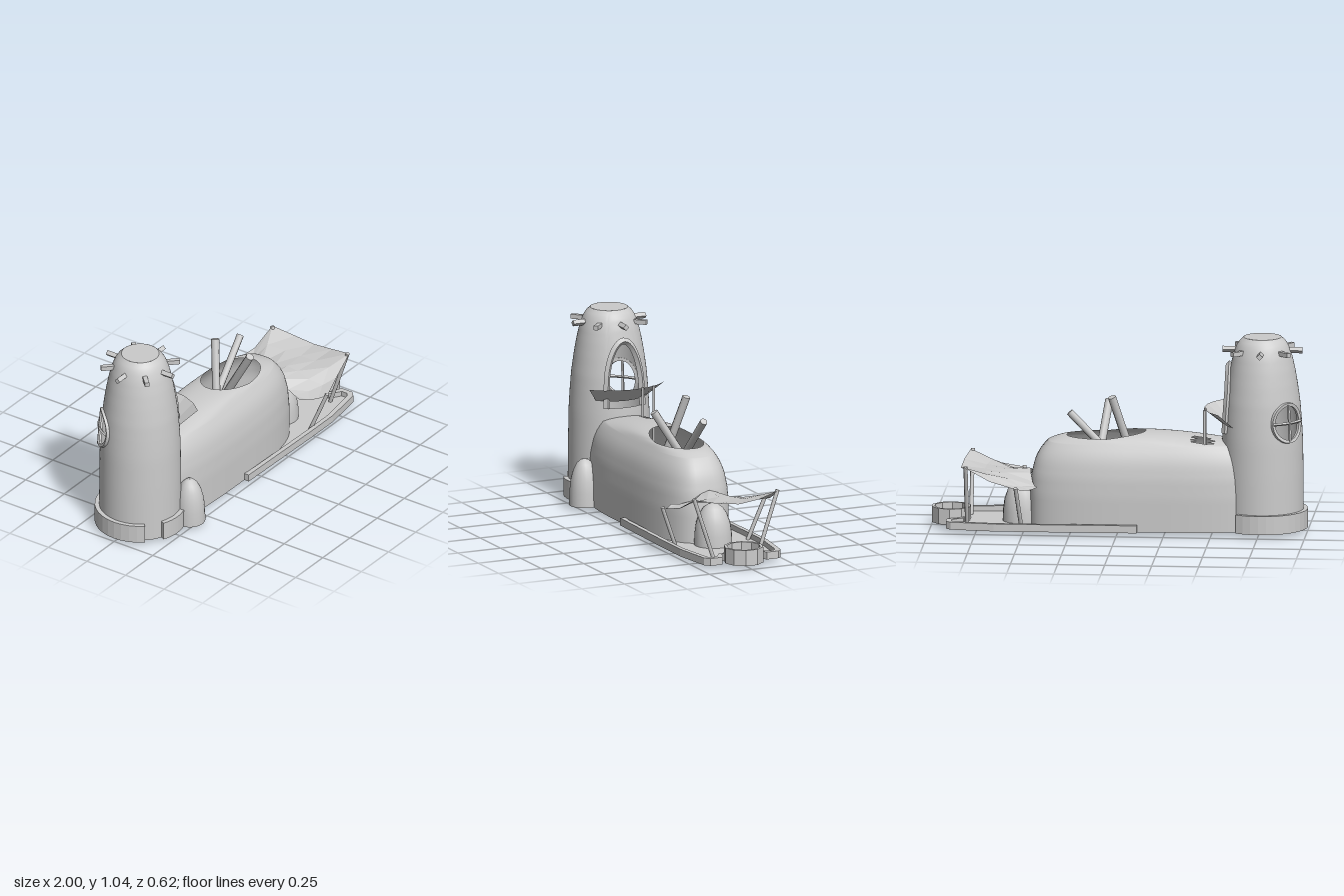
import * as THREE from 'three';
import { mergeVertices, mergeGeometries } from 'three/addons/utils/BufferGeometryUtils.js';

const grey = new THREE.MeshStandardMaterial({ color: 0xcccccc, side: THREE.DoubleSide });
const facet = new THREE.MeshStandardMaterial({ color: 0xcccccc, side: THREE.DoubleSide, flatShading: true });
const V = (x, y, z) => new THREE.Vector3(x, y, z);
const lerp = THREE.MathUtils.lerp;

// Surface from a rule fn(u, v) -> [x, y, z]; skip(x, z, y) leaves openings
function grid(nu, nv, fn, skip) {
  const pos = [], idx = [], w = nv + 1;
  for (let i = 0; i <= nu; i++) for (let j = 0; j <= nv; j++) pos.push(...fn(i / nu, j / nv));
  for (let i = 0; i < nu; i++) for (let j = 0; j < nv; j++) {
    const a = i * w + j, b = a + w, q = [a, b, a + 1, b + 1];
    const mid = k => q.reduce((s, p) => s + pos[p * 3 + k], 0) / 4;
    if (skip && skip(mid(0), mid(2), mid(1))) continue;
    idx.push(a, a + 1, b, b, a + 1, b + 1);
  }
  const g = new THREE.BufferGeometry();
  g.setAttribute('position', new THREE.Float32BufferAttribute(pos, 3));
  g.setIndex(idx);
  return g;
}

function smooth(g) {
  const m = mergeVertices(g, 1e-4);
  m.computeVertexNormals();
  return m;
}

// Extrude a plan drawn in (x, -z) upward from y0
function slab(shape, y0, h, curveSegments = 6) {
  const g = new THREE.ExtrudeGeometry(shape, { depth: h, bevelEnabled: false, curveSegments });
  return g.rotateX(-Math.PI / 2).translate(0, y0, 0);
}

// Piecewise-linear lookup in [[key, value], ...]
function lookup(table, k) {
  for (let i = 1; i < table.length; i++) {
    const [a, va] = table[i - 1], [b, vb] = table[i];
    if (k <= b) return lerp(va, vb, (k - a) / (b - a));
  }
  return table[table.length - 1][1];
}

export function createModel() {
  const root = new THREE.Group();
  const add = (name, geo, mat = grey, parent = root) => {
    const m = new THREE.Mesh(geo, mat);
    m.name = name;
    parent.add(m);
    return m;
  };
  const pole = (name, a, b, r, sides = 8) => {
    const d = b.clone().sub(a);
    const m = add(name, new THREE.CylinderGeometry(r, r, d.length(), sides), sides < 6 ? facet : grey);
    m.position.copy(a).addScaledVector(d, 0.5);
    m.quaternion.setFromUnitVectors(V(0, 1, 0), d.normalize());
  };

  // Tower wall with an arched opening (+x) and a round opening (back left)
  const TX = -0.76, SEAM = 0.61;
  const towerR = [[0.02, 0.218], [0.3, 0.217], [0.5, 0.214], [0.6, 0.208], [0.7, 0.2], [0.8, 0.186],
    [0.88, 0.172], [0.95, 0.156], [1.0, 0.138], [1.025, 0.122], [1.045, 0.1]];
  const onTower = (ang, y, off = 0) => {
    const r = lookup(towerR, y) + off;
    return [TX + r * Math.cos(ang), y, r * Math.sin(ang)];
  };
  const ARCH = 0.5, ROUND = 0.44, ROUND_AT = Math.PI * 1.25;
  const gap = (ang, side) => {
    const a = Math.atan2(Math.sin(ang), Math.cos(ang)) / ARCH;
    const b = (ang - ROUND_AT) / ROUND;
    if (Math.abs(a) < 1) return side < 0 ? 0.54 : 0.67 + 0.215 * Math.sqrt(1 - a * a);
    if (Math.abs(b) < 1) return SEAM + side * 0.1 * Math.sqrt(1 - b * b);
    return SEAM;
  };
  const wall = mergeGeometries([
    grid(96, 14, (u, v) => onTower(u * Math.PI * 2, lerp(0.02, gap(u * Math.PI * 2, -1), v))),
    grid(96, 22, (u, v) => onTower(u * Math.PI * 2, lerp(gap(u * Math.PI * 2, 1), 1.045, v))),
  ]);
  add('towerWall', smooth(wall));
  add('towerRoof', new THREE.CircleGeometry(0.1, 32).rotateX(-Math.PI / 2).translate(TX, 1.045, 0));

  // Arched window frame
  const archPath = [];
  for (let i = 0; i <= 20; i++) {
    const a = Math.PI * i / 20;
    archPath.push(V(...onTower(ARCH * Math.cos(a), 0.67 + 0.225 * Math.sin(a), 0.008)));
  }
  for (const s of [1, -1]) archPath[s > 0 ? 'unshift' : 'push'](V(...onTower(s * ARCH, 0.54, 0.008)));
  add('archFrame', new THREE.TubeGeometry(new THREE.CatmullRomCurve3(archPath), 48, 0.018, 4), facet);

  // Round window frame with crossed bars
  const ringPath = [];
  for (let i = 0; i < 10; i++) {
    const a = Math.PI * 2 * i / 10;
    ringPath.push(V(...onTower(ROUND_AT + ROUND * Math.cos(a), SEAM + 0.1 * Math.sin(a), 0.004)));
  }
  add('roundWindowFrame', new THREE.TubeGeometry(new THREE.CatmullRomCurve3(ringPath, true), 40, 0.012, 4, true), facet);
  const bar = f => new THREE.TubeGeometry(new THREE.CatmullRomCurve3([-1, -0.5, 0, 0.5, 1].map(f)), 10, 0.008, 4);
  add('roundWindowUpright', bar(t => V(...onTower(ROUND_AT, SEAM + 0.1 * t, 0.012))), facet);
  add('roundWindowCrossbar', bar(t => V(...onTower(ROUND_AT + ROUND * t, SEAM, 0.012))), facet);

  // Roof beam ends around the tower
  for (let i = 0; i < 8; i++) {
    const a = Math.PI * i / 4, c = Math.cos(a), s = Math.sin(a);
    pole('beamEnd', V(TX + 0.11 * c, 0.975, 0.11 * s), V(TX + 0.212 * c, 0.975, 0.212 * s), 0.017, 4);
  }

  // Low plinth around the tower foot, broken by a gap at the front
  for (const [from, to, h] of [[58, 114, 0.1], [139, 302, 0.1]]) {
    const a = -from * Math.PI / 180, b = -to * Math.PI / 180;
    const s = new THREE.Shape();
    s.absarc(TX, 0, 0.242, a, b, true);
    s.absarc(TX, 0, 0.214, b, a, false);
    add('plinth', slab(s, 0.02, h, 8), facet);
  }

  // Flared canopy below the arched window, with ladder rails to the roof hatch
  add('towerCanopy', grid(6, 1, (u, v) => {
    const a = (u - 0.5) * 1.57, r = lerp(0.205, 0.31, v);
    return [TX + r * Math.cos(a), lerp(0.575, 0.66, v), r * Math.sin(a)];
  }).toNonIndexed(), facet).geometry.computeVertexNormals();
  for (const z of [-0.055, -0.12]) pole('ladderRail', V(-0.46, 0.36, z), V(-0.46, 0.665, z), 0.008, 6);

  // Long rounded hall, with a large roof opening and a small hatch
  const hallInset = [[0.02, 0], [0.2, 0], [0.3, 0.006], [0.38, 0.02], [0.43, 0.038], [0.47, 0.062]];
  const pw = c => Math.sign(c) * Math.pow(Math.abs(c), 2 / 3);
  const hallAt = (t, y) => {
    const k = lookup(hallInset, y);
    return [-0.15 + (0.625 - 1.5 * k) * pw(Math.cos(t)), y, (0.217 - k) * pw(Math.sin(t))];
  };
  const hall = mergeGeometries([
    grid(72, 18, (u, v) => hallAt(u * Math.PI * 2, lerp(0.02, 0.47, v))),
    grid(72, 12, (u, v) => {
      const t = u * Math.PI * 2, c = Math.cos(t), [x, , z] = hallAt(t, 0.47);
      const rim = 0.5 + 0.028 * Math.max(0, -c);
      return [lerp(x, 0.07 + 0.21 * c, v), lerp(0.47, rim, Math.sin(v * Math.PI / 2)), lerp(z, 0.125 * Math.sin(t), v)];
    }, (x, z) => x > -0.49 && x < -0.41 && z > -0.125 && z < -0.045),
  ]);
  add('hall', smooth(hall));

  // Poles leaning out of the roof opening
  pole('roofPole', V(-0.09, 0.3, 0.025), V(0.035, 0.72, -0.075), 0.022);
  pole('roofPole', V(0.12, 0.3, -0.09), V(0.065, 0.665, 0.13), 0.022);
  pole('roofPole', V(-0.03, 0.33, -0.055), V(0.26, 0.635, -0.07), 0.02);
  pole('poleFoot', V(0.05, 0, -0.1), V(0.05, 0.06, -0.1), 0.02);
  pole('poleFoot', V(0.07, 0.008, 0.02), V(0.07, 0.06, 0.02), 0.018);

  // Beehive domes: oven beside the tower, porch at the hall end
  const dome = (name, x, z, r, h) => add(name, new THREE.LatheGeometry(
    [[1, 0], [0.98, 0.3], [0.9, 0.55], [0.74, 0.75], [0.52, 0.9], [0.27, 0.98], [0, 1]]
      .map(([a, b]) => new THREE.Vector2(a * r, 0.02 + b * h)), 20)).position.set(x, 0, z);
  dome('oven', -0.61, 0.215, 0.083, 0.25);
  dome('porchDome', 0.52, 0, 0.102, 0.235);

  // Terrace floor and raised kerb
  const half = [[-0.11, 0.245], [0.45, 0.255], [0.65, 0.255], [0.88, 0.225], [0.908, 0.2], [0.908, 0.13], [0.84, 0.1]];
  const inner = [[-0.09, 0.22], [0.45, 0.23], [0.64, 0.23], [0.86, 0.2], [0.88, 0.185], [0.88, 0.15], [0.82, 0.11]];
  const both = h => [...h, ...h.map(([x, z]) => [x, -z]).reverse()].map(p => new THREE.Vector2(...p));
  add('terraceFloor', slab(new THREE.Shape(both(half)), 0.02, 0.012), facet);
  const kerb = new THREE.Shape(both(half));
  kerb.holes.push(new THREE.Path(both(inner)));
  add('terraceKerb', slab(kerb, 0.02, 0.04), facet);

  // Round basin at the terrace end
  add('basin', new THREE.LatheGeometry([[0, 0.02], [0.106, 0.02], [0.106, 0.105], [0.09, 0.105], [0.09, 0.04], [0, 0.04]]
    .map(p => new THREE.Vector2(...p)), 10).translate(0.895, 0, 0), facet);

  // Draped awning from wall line to sagging outer edge
  const mirror = pts => [...pts, ...pts.slice(0, -1).reverse().map(([x, y, z]) => [x, y, -z])];
  const wallLine = mirror([[0.42, 0.25, 0.2], [0.44, 0.25, 0.155], [0.455, 0.262, 0.1], [0.468, 0.3, 0.045], [0.47, 0.315, 0]]);
  const edge = mirror([[0.53, 0.258, 0.305], [0.67, 0.29, 0.265], [0.81, 0.362, 0.25], [0.835, 0.333, 0.12], [0.84, 0.32, 0]]);
  add('awning', grid(8, 3, (u, v) => {
    const a = wallLine[Math.round(u * 8)], b = edge[Math.round(u * 8)];
    return a.map((p, k) => lerp(p, b[k], v) - (k === 1 ? 0.012 * Math.sin(Math.PI * v) : 0));
  }).toNonIndexed(), facet).geometry.computeVertexNormals();
  for (const s of [1, -1]) {
    pole('awningPole', V(0.8, 0.025, 0.13 * s), V(0.8, 0.365, 0.245 * s), 0.011);
    pole('awningPole', V(0.505, 0.03, 0.21 * s), V(0.53, 0.265, 0.302 * s), 0.011);
  }
  return root;
}
